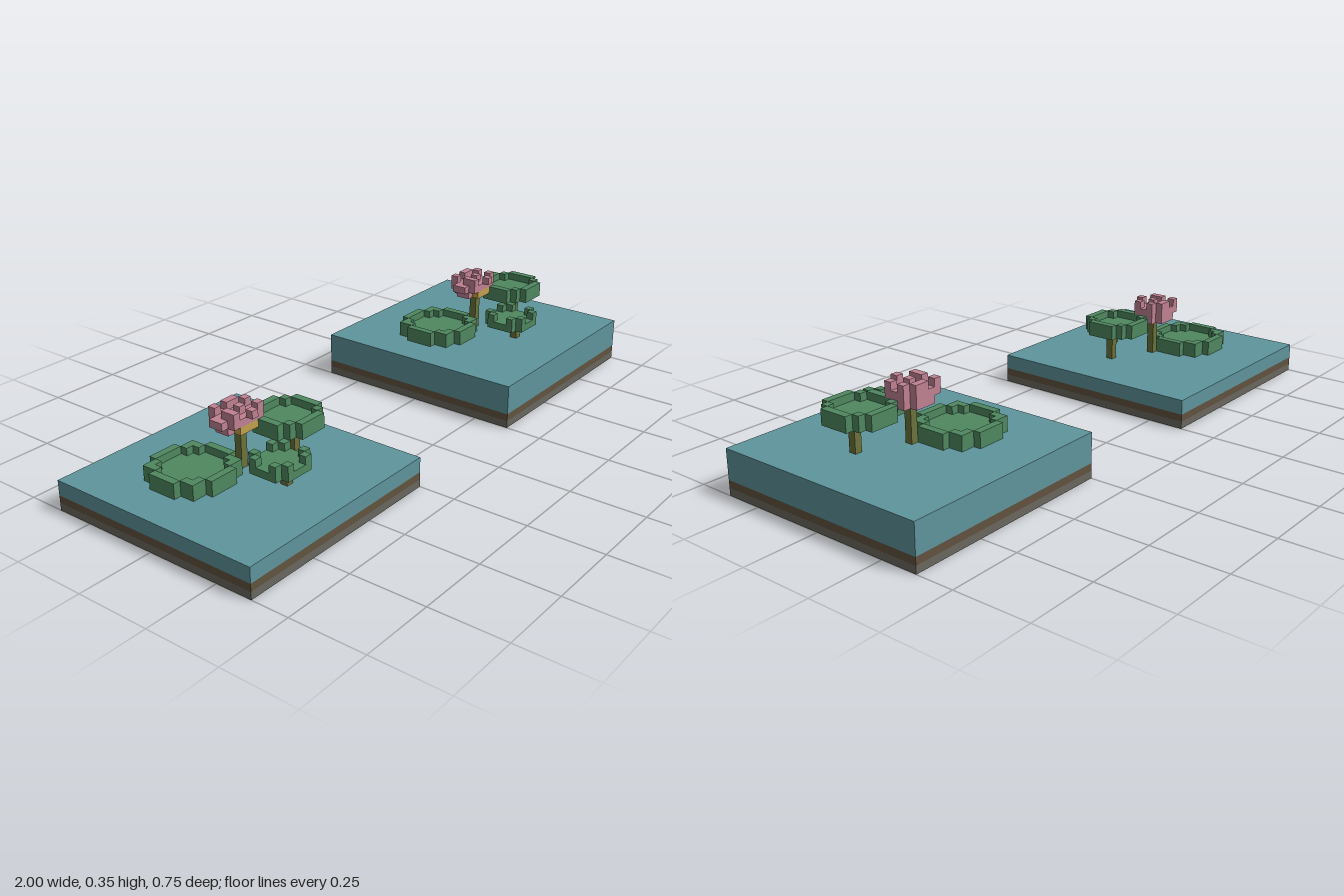
import * as THREE from 'three';
import { mergeGeometries } from 'three/addons/utils/BufferGeometryUtils.js';

const U = 0.025; // size of one block
const TILE = 30; // blocks along a tile side

const paint = (name, color) => {
  const m = new THREE.MeshStandardMaterial({ color });
  m.name = name;
  return m;
};

// Box covering blocks [x, x+w), [y, y+h), [z, z+d), measured from the tile's back-left corner
function block(x, y, z, w = 1, h = 1, d = 1) {
  return new THREE.BoxGeometry(w * U, h * U, d * U)
    .translate((x + w / 2 - TILE / 2) * U, (y + h / 2) * U, (z + d / 2 - TILE / 2) * U);
}

function part(name, material, blocks) {
  const mesh = new THREE.Mesh(mergeGeometries(blocks), material);
  mesh.name = name;
  return mesh;
}

// Round leaf: a floor one block thick with a raised rim
function leafBlocks(cx, y, cz, r) {
  const out = [];
  for (let k = -r; k < r; k++) {
    const cells = [];
    for (let i = -r; i < r; i++) {
      const d = Math.hypot(i + 0.5, k + 0.5);
      if (d > r) continue;
      cells.push(i);
      if (d > 0.855 * r) out.push(block(cx + i, y + 1, cz + k));
    }
    out.push(block(cx + cells[0], y, cz + k, cells.length));
  }
  return out;
}

function createPondTile(top, mats) {
  const tile = new THREE.Group();

  // Ground layers and water
  tile.add(part('stoneLayer', mats.stone, [block(0, 0, 0, TILE, 1, TILE)]));
  tile.add(part('soilLayer', mats.soil, [block(0, 1, 0, TILE, 1, TILE)]));
  tile.add(part('water', mats.water, [block(0, 2, 0, TILE, top - 2, TILE)]));

  // Leaves: centre x, height above water, centre z, radius
  const leaves = [
    ['largeLeaf', 10, 0, 12, 5],
    ['tallLeaf', 21, 4, 17, 4],
    ['smallLeaf', 15, 2, 21, 3],
  ];
  for (const [name, x, h, z, r] of leaves) {
    tile.add(part(name, mats.leaf, leafBlocks(x, top + h, z, r)));
    if (h) tile.add(part(name + 'Stem', mats.stem, [block(x, top, z, 1, h)]));
  }

  // Flower: stem, yellow heart, then petals in three layers
  const y = top + 5;
  tile.add(part('flowerStem', mats.stem, [block(15, top, 14, 1, 5)]));
  tile.add(part('flowerHeart', mats.heart, [block(14, y, 13, 3, 1, 3)]));
  const petals = [
    block(14, y, 12, 3), block(13, y, 13, 1, 1, 2), block(17, y, 13, 1, 1, 2),
    block(13, y + 1, 12, 4, 1, 4), block(12, y + 1, 13, 1, 1, 2), block(17, y + 1, 13, 1, 1, 3),
  ];
  const tips = [[13, 12], [15, 12], [16, 12], [17, 13], [13, 14], [15, 14], [17, 15], [13, 15], [15, 16]];
  for (const [x, z] of tips) petals.push(block(x, y + 2, z));
  tile.add(part('flowerPetals', mats.petal, petals));
  return tile;
}

export function createModel() {
  const mats = {
    stone: paint('stone', 0x69675f),
    soil: paint('soil', 0x62533f),
    water: paint('water', 0x5f959c),
    leaf: paint('leafGreen', 0x4f8860),
    stem: paint('stemOlive', 0x6b733c),
    petal: paint('petalPink', 0xc08293),
    heart: paint('heartYellow', 0xc2a14c),
  };
  const model = new THREE.Group();
  model.name = 'lilyPonds';

  // Shallow pond and deep pond
  const tiles = [['shallowPond', -0.625, 4], ['deepPond', 0.625, 6]];
  for (const [name, x, top] of tiles) {
    const tile = createPondTile(top, mats);
    tile.name = name;
    tile.position.x = x;
    model.add(tile);
  }
  return model;
}
